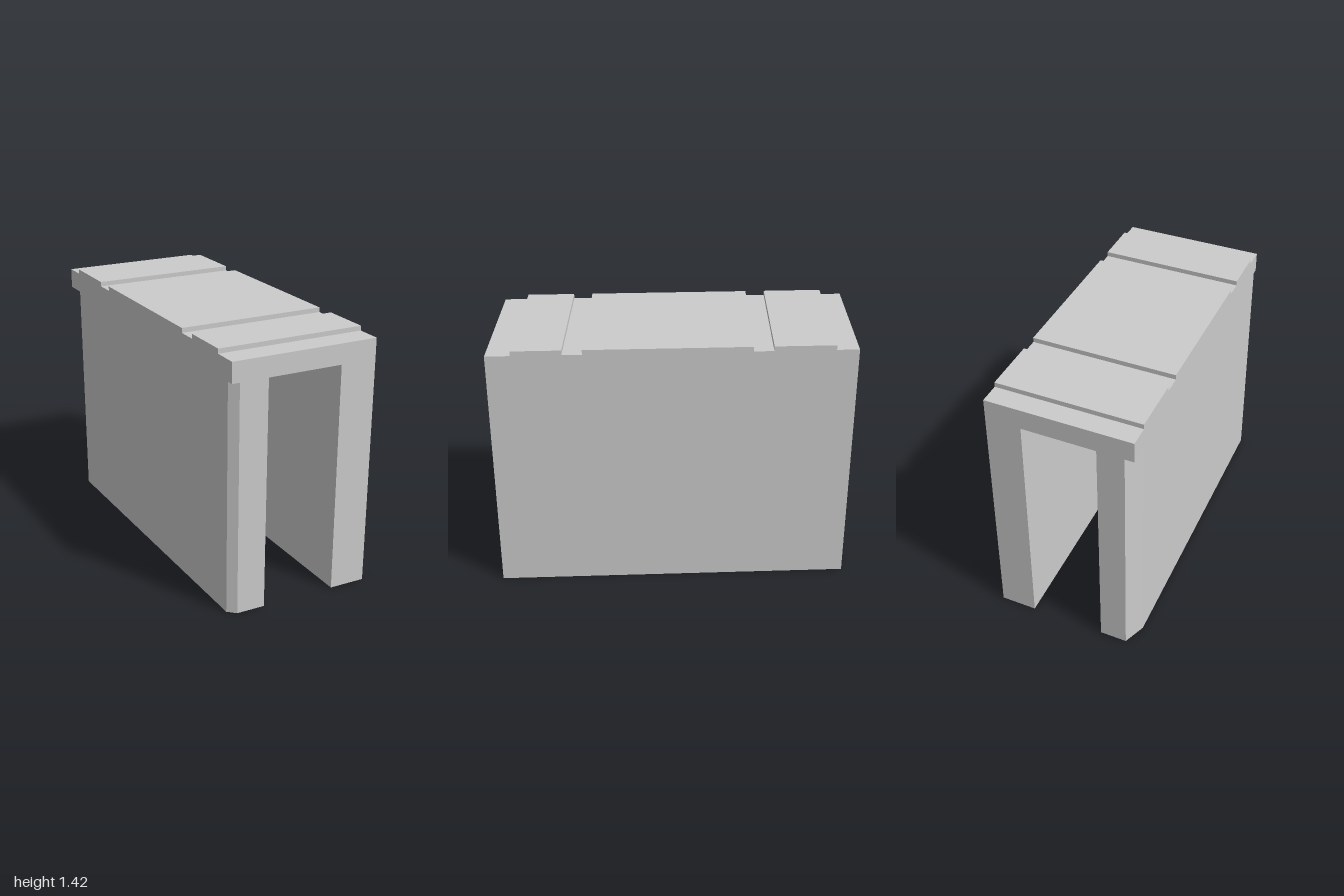
import * as THREE from 'three';

const HALF_W = 0.408, HALF_L = 0.978, INNER = 0.207;
const BEAM_Y = 1.28, GROOVE_Y = 1.392, TOP_Y = 1.418, SKEW = 0.05;

const material = new THREE.MeshStandardMaterial({ color: 0xcccccc, flatShading: true });

// Slides every vertex along z in proportion to x, so the ends run at a slant.
function skewedMesh(name, geometry) {
  const p = geometry.attributes.position;
  for (let i = 0; i < p.count; i++) p.setZ(i, p.getZ(i) + SKEW * p.getX(i));
  geometry.computeVertexNormals();
  const mesh = new THREE.Mesh(geometry, material);
  mesh.name = name;
  return mesh;
}

function extrude(points, depth) {
  const shape = new THREE.Shape(points.map(([x, y]) => new THREE.Vector2(x, y)));
  return new THREE.ExtrudeGeometry(shape, { depth, bevelEnabled: false });
}

// Upright wall from a plan outline of [x, z] points
function wall(name, plan) {
  const geometry = extrude(plan.map(([x, z]) => [x, -z]), BEAM_Y);
  return skewedMesh(name, geometry.rotateX(-Math.PI / 2));
}

export function createModel() {
  const model = new THREE.Group();
  model.name = 'slantedArch';

  // Plain wall
  model.add(wall('leftWall', [
    [INNER, HALF_L], [HALF_W, HALF_L], [HALF_W, -HALF_L], [INNER, -HALF_L],
  ]));

  // Wall with a small front chamfer and a long back chamfer under the roof
  model.add(wall('rightWall', [
    [-INNER, HALF_L], [-0.365, HALF_L], [-HALF_W, HALF_L - 0.038],
    [-HALF_W, -HALF_L + 0.126], [-0.357, -HALF_L], [-INNER, -HALF_L],
  ]));

  // Roof: side profile with three raised panels, extruded across the width
  const profile = [[-HALF_L, BEAM_Y], [-HALF_L, GROOVE_Y]];
  for (const [front, back] of [[0.845, 0.58], [0.474, -0.42], [-0.528, -0.857]]) {
    profile.push([-front, GROOVE_Y], [-front, TOP_Y], [-back, TOP_Y], [-back, GROOVE_Y]);
  }
  profile.push([HALF_L, GROOVE_Y], [HALF_L, BEAM_Y]);
  const roof = extrude(profile, HALF_W * 2).translate(0, 0, -HALF_W).rotateY(Math.PI / 2);
  model.add(skewedMesh('roof', roof));

  return model;
}
